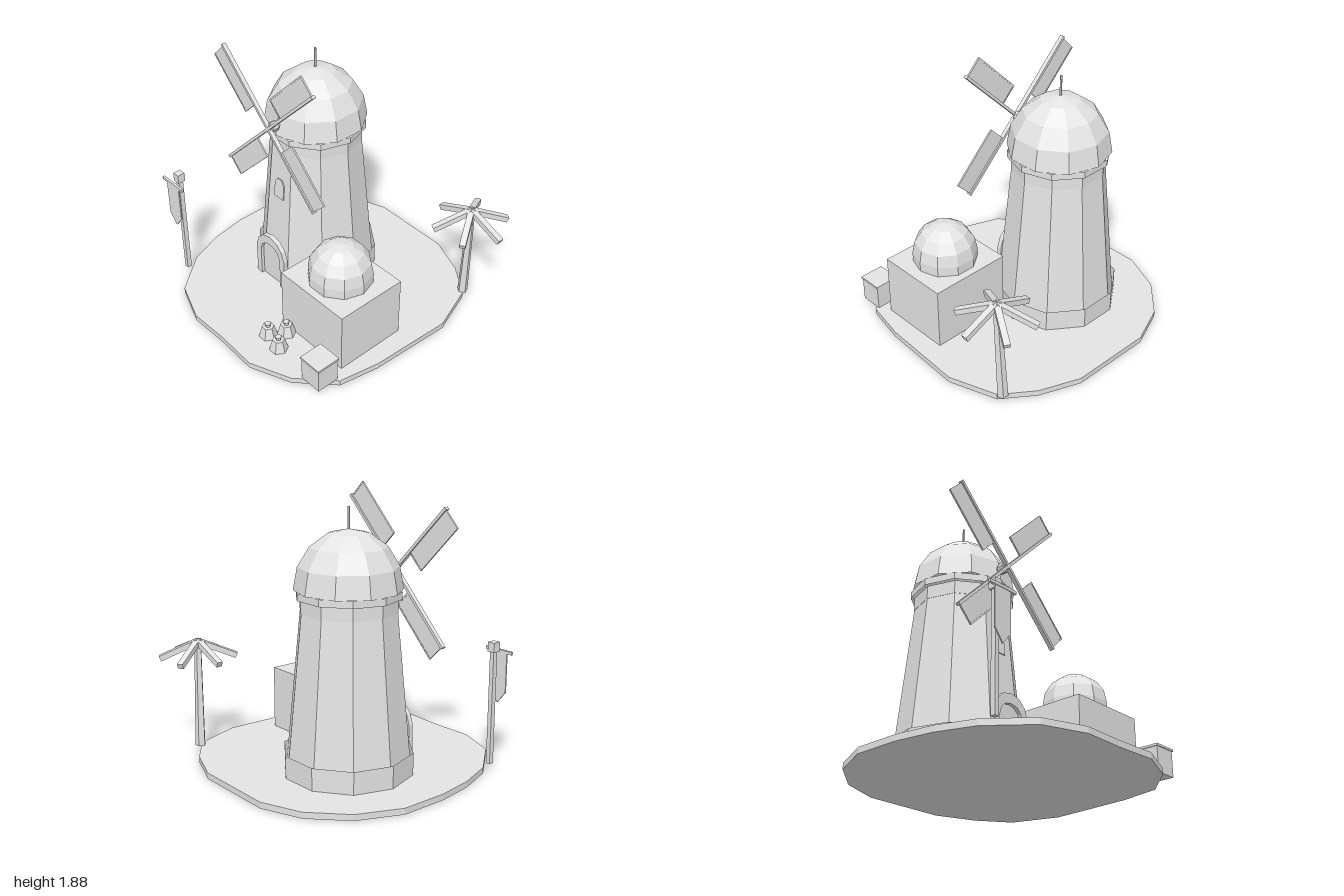
import * as THREE from 'three';

const grey = new THREE.MeshStandardMaterial({ color: 0xe4e4e4, flatShading: true, side: THREE.DoubleSide });
grey.name = 'stone grey';

function add(parent, name, geometry, x = 0, y = 0, z = 0) {
  const mesh = new THREE.Mesh(geometry, grey);
  mesh.name = name;
  mesh.position.set(x, y, z);
  parent.add(mesh);
  return mesh;
}

const box = (w, h, d) => new THREE.BoxGeometry(w, h, d);

// Tapered prism standing between two heights, with a corner on the x axis
function prism(parent, name, rTop, rBottom, y0, y1, sides, x = 0, z = 0, open = false) {
  const geometry = new THREE.CylinderGeometry(rTop, rBottom, y1 - y0, sides, 1, open);
  add(parent, name, geometry, x, (y0 + y1) / 2, z).rotation.y = Math.PI / 2;
}

// Faceted half dome
function dome(parent, name, r, h, x, y, z, turn) {
  const pts = [];
  for (let i = 0; i <= 4; i++) {
    const a = (i * Math.PI) / 8;
    pts.push(new THREE.Vector2(i === 4 ? 0 : r * Math.cos(a), h * Math.sin(a)));
  }
  add(parent, name, new THREE.LatheGeometry(pts, 10), x, y, z).rotation.y = turn;
}

const shapeOf = (pts) => new THREE.Shape(pts.map(([x, y]) => new THREE.Vector2(x, y)));
const extrude = (shape, depth) => new THREE.ExtrudeGeometry(shape, { depth, bevelEnabled: false });
// Right half of an outline, bottom to top, completed by its mirror
const mirrored = (half) => [...half, ...half.filter(([x]) => x > 0).reverse().map(([x, y]) => [-x, y])];

function buildTower(root) {
  const g = new THREE.Group();
  g.name = 'tower';
  g.position.set(-0.305, 0, -0.162);
  root.add(g);
  prism(g, 'plinth', 0.436, 0.436, 0.04, 0.195, 10, 0, 0, true);
  prism(g, 'towerWall', 0.312, 0.425, 0.04, 1.21, 10);
  prism(g, 'towerBand', 0.323, 0.323, 1.12, 1.21, 10);
  prism(g, 'eaves', 0.348, 0.348, 1.21, 1.257, 10, 0, 0, true);
  dome(g, 'towerDome', 0.353, 0.388, 0, 1.257, 0, 0);
  prism(g, 'spire', 0.008, 0.008, 1.63, 1.785, 5);

  // Arched doorway
  const opening = mirrored([[0.102, 0.04], [0.102, 0.27], [0.088, 0.32], [0.05, 0.355], [0, 0.365]]);
  const frame = shapeOf([
    ...mirrored([[0.15, 0.04], [0.15, 0.29], [0.125, 0.365], [0.075, 0.415], [0, 0.435]]),
    ...opening.slice().reverse(),
  ]);
  add(g, 'doorFrame', extrude(frame, 0.035), 0, 0, 0.408);
  add(g, 'door', extrude(shapeOf(opening), 0.009), 0, 0, 0.41);

  // Small arched window lying on the sloping wall
  const win = shapeOf(mirrored([[0.047, -0.075], [0.047, 0.035], [0.022, 0.075]]));
  add(g, 'window', extrude(win, 0.009), 0, 0.81, 0.332).rotation.x = -0.0916;
}

function buildSails(root) {
  const g = new THREE.Group();
  g.name = 'sails';
  g.position.set(-0.305, 1.337, 0.247);
  root.add(g);
  const axle = add(g, 'axle', new THREE.CylinderGeometry(0.022, 0.022, 0.24, 8), 0, 0, -0.12);
  const hub = add(g, 'hub', new THREE.CylinderGeometry(0.036, 0.036, 0.05, 8), 0, 0, -0.035);
  axle.rotation.x = hub.rotation.x = Math.PI / 2;
  for (let i = 0; i < 4; i++) {
    const sail = new THREE.Group();
    sail.name = 'sail';
    sail.rotation.z = Math.PI / 4 + (i * Math.PI) / 2;
    g.add(sail);
    add(sail, 'spar', box(0.63, 0.02, 0.03), 0.315, 0, 0);
    add(sail, 'sailCloth', box(0.43, 0.142, 0.008), 0.4, 0.071, 0);
    add(sail, 'outerRail', box(0.44, 0.01, 0.012), 0.4, 0.146, 0);
    for (const x of [0.185, 0.615]) add(sail, 'endRail', box(0.01, 0.141, 0.012), x, 0.0705, 0);
  }
}

function buildHouse(root) {
  const g = new THREE.Group();
  g.name = 'house';
  root.add(g);
  add(g, 'houseWalls', box(0.596, 0.45, 0.53), 0.384, 0.265, 0.235);
  prism(g, 'drum', 0.222, 0.222, 0.49, 0.56, 10, 0.382, 0.235, true);
  dome(g, 'houseDome', 0.222, 0.22, 0.382, 0.56, 0.235, Math.PI / 2);
}

function buildPalm(root) {
  const g = new THREE.Group();
  g.name = 'palm';
  root.add(g);
  // Leaning trunk
  const base = new THREE.Vector3(0.7, 0.04, -0.665);
  const top = new THREE.Vector3(0.727, 0.79, -0.643);
  const dir = top.clone().sub(base);
  const trunk = add(g, 'trunk', new THREE.CylinderGeometry(0.025, 0.037, dir.length(), 5));
  trunk.position.copy(base).add(top).multiplyScalar(0.5);
  trunk.quaternion.setFromUnitVectors(new THREE.Vector3(0, 1, 0), dir.normalize());
  // Drooping leaves
  for (let i = 0; i < 6; i++) {
    const leaf = box(0.285, 0.038, 0.042);
    leaf.translate(0.1425, 0, 0).rotateZ(-0.4);
    add(g, 'leaf', leaf, 0.727, 0.787, -0.643).rotation.y = (i * Math.PI) / 3;
  }
}

function buildBanner(root) {
  const g = new THREE.Group();
  g.name = 'banner';
  g.position.set(-0.834, 0, 0.635);
  root.add(g);
  add(g, 'pole', box(0.032, 0.79, 0.034), 0, 0.435, 0);
  add(g, 'poleCap', box(0.055, 0.065, 0.055), 0, 0.85, 0);
  add(g, 'crossbar', box(0.22, 0.02, 0.018), 0, 0.815, 0.056);
  const cloth = shapeOf([[0, 0.458], [0.067, 0.54], [0.067, 0.81], [-0.067, 0.81], [-0.067, 0.54]]);
  add(g, 'bannerCloth', extrude(cloth, 0.009), 0, 0, 0.052);
}

export function createModel() {
  const root = new THREE.Group();
  root.name = 'windmillIsland';

  // Irregular ground slab
  const outline = [
    [-0.365, -0.923], [0.23, -0.913], [0.51, -0.8], [0.725, -0.64], [0.842, -0.305], [0.812, 0.29],
    [0.755, 0.58], [0.525, 0.8], [0.235, 0.918], [-0.07, 0.905], [-0.365, 0.912], [-0.65, 0.805],
    [-0.865, 0.54], [-0.957, 0.285], [-1, 0.02], [-1, -0.305], [-0.87, -0.6], [-0.645, -0.815],
  ];
  add(root, 'ground', extrude(shapeOf(outline), 0.042).rotateX(Math.PI / 2), 0, 0.042, 0);

  buildTower(root);
  buildSails(root);
  buildHouse(root);
  buildPalm(root);
  buildBanner(root);

  // Crate with lid
  add(root, 'crate', box(0.165, 0.18, 0.165), 0.647, 0.13, 0.66);
  add(root, 'crateLid', box(0.178, 0.015, 0.178), 0.647, 0.222, 0.66);

  // Tied sacks
  for (const [x, z] of [[0.187, 0.553], [0.118, 0.657], [0.262, 0.685]]) {
    const sack = new THREE.Group();
    sack.name = 'sack';
    root.add(sack);
    prism(sack, 'sackBody', 0.042, 0.066, 0.04, 0.127, 6, x, z);
    prism(sack, 'sackKnot', 0.024, 0.018, 0.12, 0.15, 5, x, z);
  }
  return root;
}
